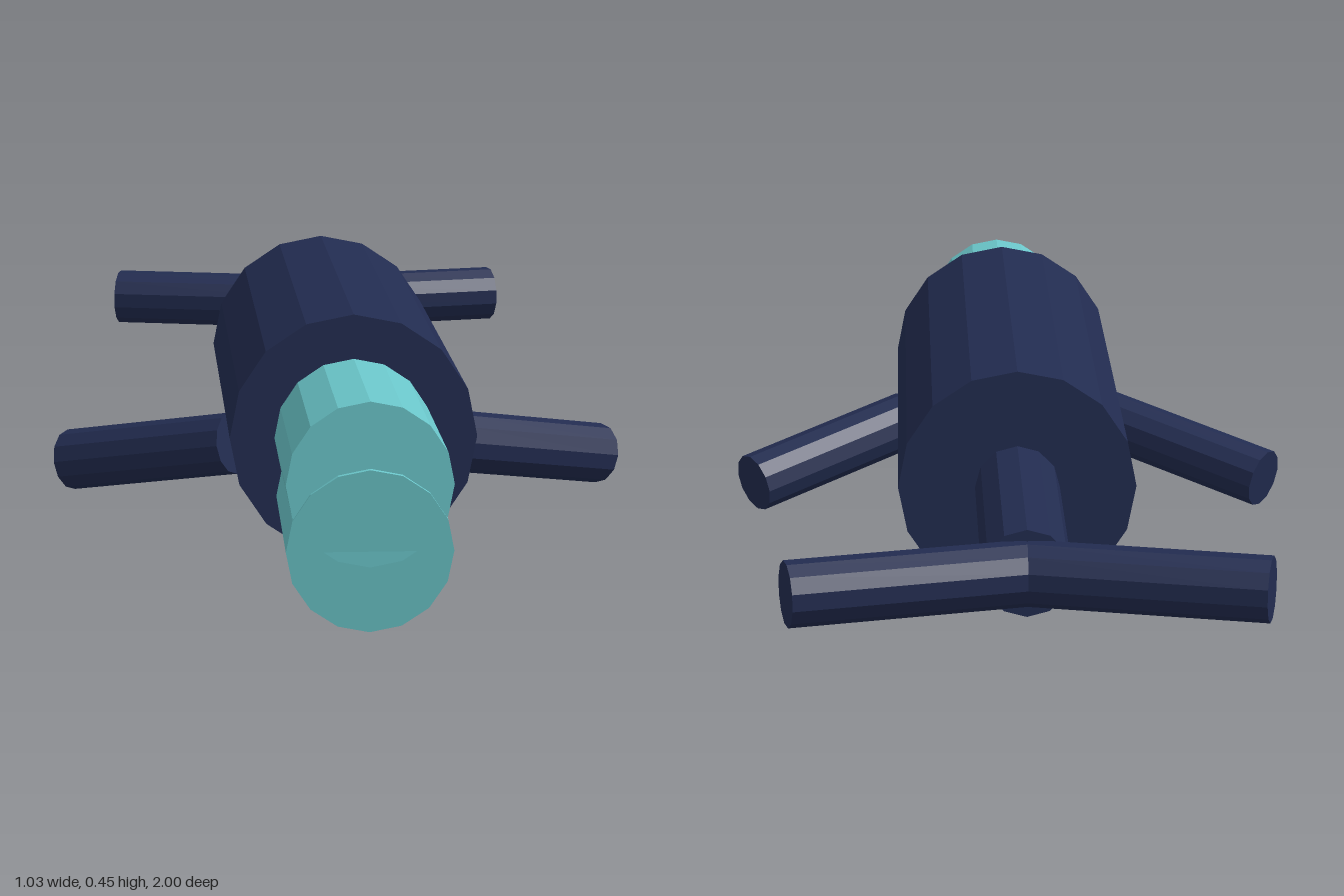
import * as THREE from 'three';

const navy = new THREE.MeshStandardMaterial({ color: 0x222c50, flatShading: true });
navy.name = 'navy';
const teal = new THREE.MeshStandardMaterial({ color: 0x6ac5c9, flatShading: true });
teal.name = 'teal';

// Faceted cylinder running from point a to point b
function rod(name, a, b, radius, sides, material) {
  const start = new THREE.Vector3(...a);
  const end = new THREE.Vector3(...b);
  const axis = end.clone().sub(start);
  const geometry = new THREE.CylinderGeometry(radius, radius, axis.length(), sides);
  const mesh = new THREE.Mesh(geometry, material);
  mesh.name = name;
  mesh.position.copy(start).add(end).multiplyScalar(0.5);
  mesh.quaternion.setFromUnitVectors(new THREE.Vector3(0, 1, 0), axis.normalize());
  return mesh;
}

export function createModel() {
  const model = new THREE.Group();
  model.name = 'swimmingAnimal';
  const midY = 0.247;

  // Body and tail stalk
  model.add(rod('body', [0, midY, -0.36], [0, midY, 0.6], 0.211, 16, navy));
  model.add(rod('tail', [0, midY, -0.845], [0, midY, -0.3], 0.075, 12, navy));

  // Snout, with a slightly tilted lower jaw
  model.add(rod('upperJaw', [0, midY, 0.55], [0, midY, 0.993], 0.135, 16, teal));
  model.add(rod('lowerJaw', [0, 0.16, 0.664], [0, 0.138, 0.993], 0.135, 16, teal));

  // Mirrored flippers and tail flukes
  for (const [side, s] of [['left', 1], ['right', -1]]) {
    model.add(rod(side + 'Flipper', [s * 0.195, 0.181, 0.311], [s * 0.486, 0.115, 0.113], 0.055, 12, navy));
    model.add(rod(side + 'Fluke', [0, 0.25, -0.852], [s * 0.392, 0.25, -0.947], 0.055, 12, navy));
  }
  return model;
}
